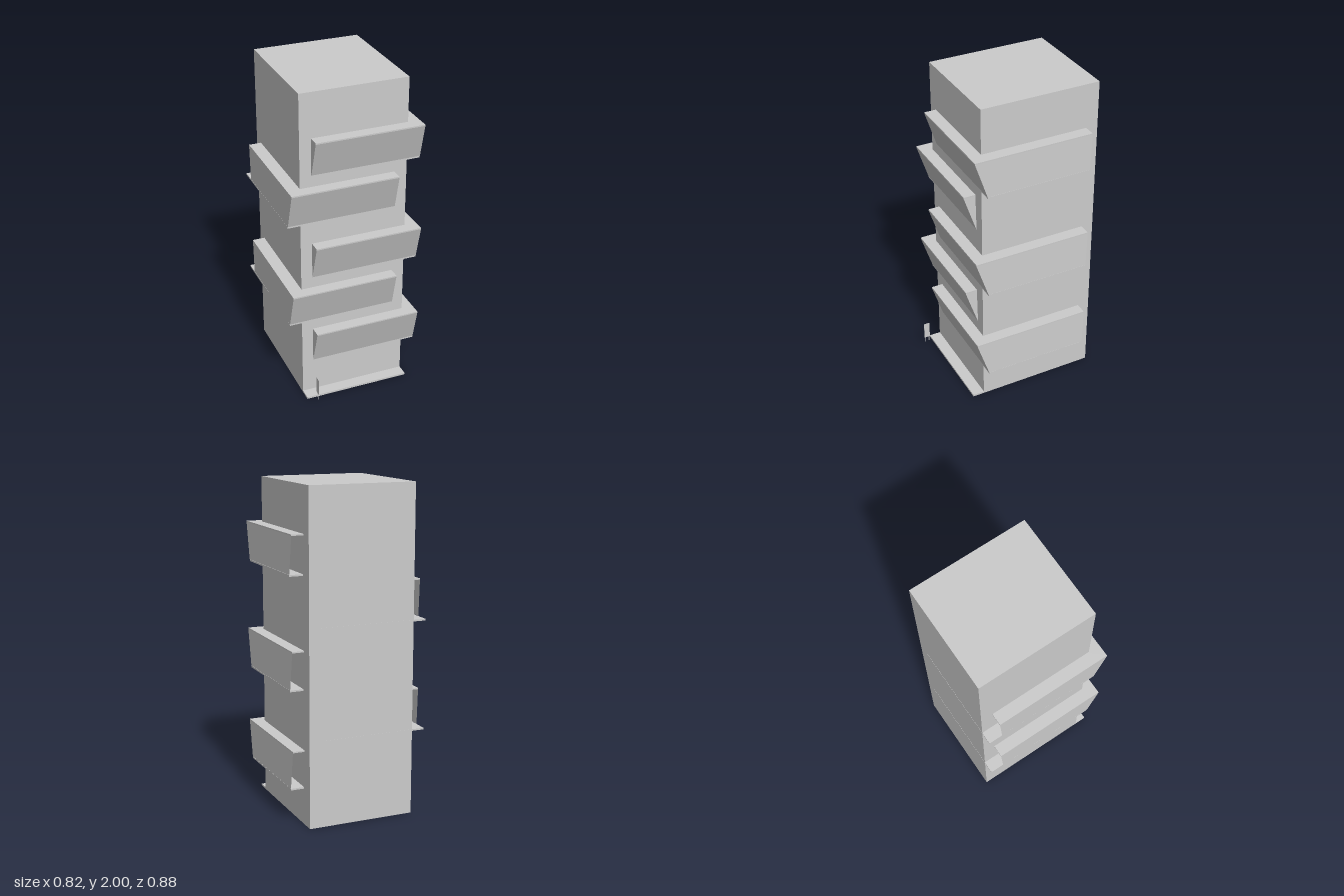
import * as THREE from 'three';

const grey = new THREE.MeshStandardMaterial({ color: 0xcccccc, flatShading: true });
const sheet = new THREE.MeshStandardMaterial({ color: 0xcccccc, flatShading: true, side: THREE.DoubleSide });

// Box given by its lower and upper corners
function block(name, [x0, y0, z0], [x1, y1, z1]) {
  const mesh = new THREE.Mesh(new THREE.BoxGeometry(x1 - x0, y1 - y0, z1 - z0), grey);
  mesh.position.set((x0 + x1) / 2, (y0 + y1) / 2, (z0 + z1) / 2);
  mesh.name = name;
  return mesh;
}

// Thin four-cornered panel, corners in counter-clockwise order from outside
function panel(name, a, b, c, d) {
  const geo = new THREE.BufferGeometry();
  geo.setAttribute('position', new THREE.Float32BufferAttribute([a, b, c, a, c, d].flat(), 3));
  geo.computeVertexNormals();
  const mesh = new THREE.Mesh(geo, sheet);
  mesh.name = name;
  return mesh;
}

// Balcony: thin tray with a leaning front, two sides, a top lip and an open back
function balcony(name, left, right, floorBack) {
  const g = new THREE.Group();
  g.name = name;
  const h = 0.22, zTop = 0.376, zLow = 0.305, zBack = -0.362, flare = 0.009;
  const ftl = [left, h, zTop], ftr = [right, h, zTop];
  const fbl = [left, 0, zLow], fbr = [right + flare, 0, zLow];
  const btl = [left, h, zBack], btr = [right, h, zBack];
  const bbl = [left, 0, zBack + 0.012], bbr = [right + flare, 0, zBack + 0.012];
  g.add(
    panel('balconyFront', fbl, fbr, ftr, ftl),
    panel('balconyRightSide', fbr, bbr, btr, ftr),
    panel('balconyLeftSide', bbl, fbl, ftl, btl),
    block('balconyTop', [left, h, zBack], [right, h + 0.008, zTop]),
    block('balconyFloor', [left, -0.011, floorBack], [right + flare, -0.001, 0.303])
  );
  return g;
}

export function createModel() {
  const model = new THREE.Group();
  model.name = 'towerBlock';

  model.add(block('tower', [-0.335, 0, -0.437], [0.328, 2, 0.303]));
  model.add(block('frontStep', [-0.335, 0, 0.29], [0.328, 0.012, 0.376]));

  // Balconies wrap alternately around the two front corners
  [0.46, 0.757, 1.055, 1.425, 1.725].forEach((top, i) => {
    const b = i % 2 === 0
      ? balcony('balcony' + i, -0.265, 0.402, -0.348)
      : balcony('balcony' + i, -0.412, 0.25, -0.438);
    b.position.y = top - 0.228;
    model.add(b);
  });

  // Small upright sign on two thin legs
  const sign = new THREE.Group();
  sign.name = 'sign';
  sign.add(block('signBoard', [-0.2815, 0.055, 0.399], [-0.28, 0.165, 0.437]));
  for (const z of [0.406, 0.43]) {
    sign.add(block('signLeg', [-0.282, 0.022, z - 0.002], [-0.279, 0.056, z + 0.002]));
  }
  model.add(sign);

  return model;
}
